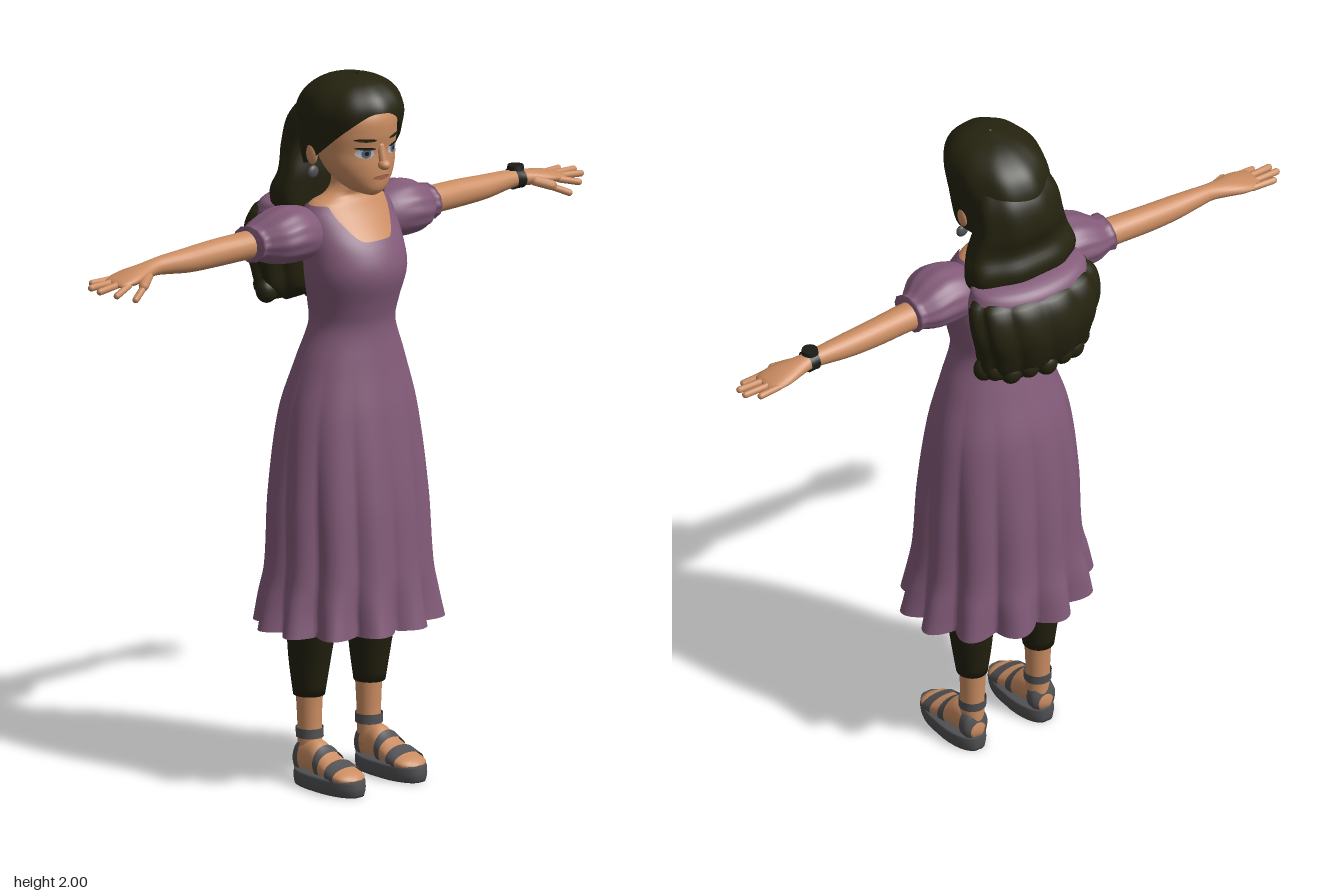
import * as THREE from 'three';

const mat = (name, color, side = THREE.DoubleSide) => {
  const m = new THREE.MeshStandardMaterial({ color, side });
  m.name = name;
  return m;
};
const rad = THREE.MathUtils.degToRad;
const smooth = THREE.MathUtils.smoothstep;

// Ring = [y, half width, front z, back z, centre x]; smooth interpolation between rings.
function ringAt(rings, y) {
  let i = 0;
  while (i < rings.length - 2 && y > rings[i + 1][0]) i++;
  const slope = (j, k) => {
    const a = rings[Math.max(j - 1, 0)], b = rings[Math.min(j + 1, rings.length - 1)];
    return ((b[k] ?? 0) - (a[k] ?? 0)) / (b[0] - a[0]);
  };
  const a = rings[i], b = rings[i + 1], h = b[0] - a[0];
  const t = THREE.MathUtils.clamp((y - a[0]) / h, 0, 1), t2 = t * t, t3 = t2 * t;
  const at = k => (2 * t3 - 3 * t2 + 1) * (a[k] ?? 0) + (t3 - 2 * t2 + t) * h * slope(i, k)
    + (3 * t2 - 2 * t3) * (b[k] ?? 0) + (t3 - t2) * h * slope(i + 1, k);
  return { w: Math.max(at(1), 0.001), c: (at(2) + at(3)) / 2, d: (at(2) - at(3)) / 2, cx: at(4) };
}

// Skin the rings; lo and hi edges and the radius factor may vary with the angle from the front.
function loft(rings, { lo, hi, seg = 32, rows = 24, factor = () => 1, caps = true } = {}) {
  const y0 = rings[0][0], y1 = rings[rings.length - 1][0], pos = [], idx = [];
  for (let r = 0; r <= rows; r++) for (let s = 0; s < seg; s++) {
    const th = s / seg * Math.PI * 2, phi = th > Math.PI ? th - Math.PI * 2 : th;
    const y = THREE.MathUtils.lerp(lo ? lo(phi) : y0, hi ? hi(phi) : y1, r / rows);
    const q = ringAt(rings, y), f = factor(phi, y);
    pos.push(q.cx + q.w * f * Math.sin(th), y, q.c + q.d * f * Math.cos(th));
  }
  for (let r = 0; r < rows; r++) for (let s = 0; s < seg; s++) {
    const a = r * seg + s, b = r * seg + (s + 1) % seg;
    idx.push(a, b, b + seg, a, b + seg, a + seg);
  }
  if (caps) [[y0, 0], [y1, rows]].forEach(([y, r]) => {
    const q = ringAt(rings, y), c = pos.length / 3;
    pos.push(q.cx, y, q.c);
    for (let s = 0; s < seg; s++) {
      const a = r * seg + s, b = r * seg + (s + 1) % seg;
      r ? idx.push(a, b, c) : idx.push(b, a, c);
    }
  });
  const g = new THREE.BufferGeometry();
  g.setAttribute('position', new THREE.Float32BufferAttribute(pos, 3));
  g.setIndex(idx);
  g.computeVertexNormals();
  return g;
}
const inflate = (rings, e) => rings.map(r => [r[0], r[1] + e, r[2] + e, r[3] - e, r[4] ?? 0]);

function mirrored(geo) {
  const g = geo.clone().scale(-1, 1, 1), ix = g.index.array;
  for (let i = 0; i < ix.length; i += 3) [ix[i], ix[i + 1]] = [ix[i + 1], ix[i]];
  g.computeVertexNormals();
  return g;
}

function capsule(a, b, r) {
  const p = new THREE.Vector3(...a), q = new THREE.Vector3(...b), d = q.clone().sub(p);
  const turn = new THREE.Quaternion().setFromUnitVectors(new THREE.Vector3(0, 1, 0), d.clone().normalize());
  const c = p.add(q).multiplyScalar(0.5);
  return new THREE.CapsuleGeometry(r, d.length() - 2 * r, 5, 10).applyQuaternion(turn).translate(c.x, c.y, c.z);
}
const ball = (r, sx, sy, sz, x, y, z) => new THREE.SphereGeometry(r, 20, 14).scale(sx, sy, sz).translate(x, y, z);

export function createModel() {
  const root = new THREE.Group();
  const skin = mat('skin', 0xcb8d62), hair = mat('dark hair', 0x25230f), dress = mat('plum cloth', 0x835b79);
  const leggings = mat('dark leggings', 0x22200e), grey = mat('grey leather', 0x515154);
  const white = mat('eye white', 0xb9bcc4), iris = mat('blue grey iris', 0x52667c);
  const lip = mat('lips', 0xa9654c), black = mat('watch black', 0x1b1b17);
  const add = (name, geo, m) => {
    const mesh = new THREE.Mesh(geo, m);
    mesh.name = name;
    root.add(mesh);
  };
  const pair = (name, geo, m) => {
    add('left' + name, geo, m);
    add('right' + name, mirrored(geo), m);
  };

  // Dress: fitted bodice running into a pleated skirt with a flared hem
  const body = [[0.455, 0.287, 0.265, -0.2], [0.53, 0.27, 0.25, -0.19], [0.61, 0.251, 0.239, -0.176],
    [0.82, 0.24, 0.222, -0.165], [1.05, 0.21, 0.19, -0.135], [1.2, 0.163, 0.162, -0.09],
    [1.3, 0.127, 0.15, -0.062], [1.36, 0.133, 0.163, -0.065], [1.45, 0.15, 0.187, -0.07],
    [1.52, 0.15, 0.168, -0.07], [1.58, 0.15, 0.128, -0.07], [1.62, 0.143, 0.1, -0.06],
    [1.645, 0.12, 0.085, -0.045], [1.66, 0.08, 0.075, -0.03]];
  const pleat = (phi, y) => {
    const depth = 0.1 * (1 - smooth(y, 0.6, 1.28)) + 0.09 * (1 - smooth(y, 0.455, 0.62));
    return 1 - depth * (1 - Math.abs(Math.sin(6 * phi)));
  };
  add('dress', loft(body, {
    seg: 168, rows: 64, factor: pleat, caps: false,
    hi: phi => 1.545 + 0.095 * smooth(Math.abs(phi), rad(15), rad(55)),
  }), dress);

  // Chest and neck
  const chest = inflate(body.filter(r => r[0] > 1.42), -0.006);
  add('chestAndNeck', loft([...chest, [1.685, 0.05, 0.08, -0.03], [1.72, 0.047, 0.075, -0.03], [1.78, 0.05, 0.08, -0.03]],
    { seg: 48, rows: 40 }), skin);

  // Puff sleeves with gathered cuffs
  const puff = [[0.1, 0.06, 0.06, -0.06, 0.01], [0.15, 0.074, 0.085, -0.085, 0], [0.21, 0.077, 0.098, -0.092, -0.005],
    [0.26, 0.068, 0.088, -0.09, 0], [0.295, 0.052, 0.058, -0.078, 0.004], [0.305, 0.047, 0.046, -0.072, 0.005],
    [0.325, 0.05, 0.05, -0.075, 0.005]];
  const sleeve = loft(puff, { seg: 60, factor: (p, y) => 1 + 0.02 * smooth(y, 0.13, 0.22) * Math.cos(12 * p) });
  pair('Sleeve', sleeve.rotateZ(-Math.PI / 2).translate(0, 1.565, 0), dress);

  // Arms, hands and fingers
  const arm = [[0.26, 0.04, 0.025, -0.06, 0], [0.35, 0.039, 0.02, -0.06, 0], [0.45, 0.038, 0.012, -0.062, 0.002],
    [0.54, 0.034, 0.008, -0.06, 0.003], [0.62, 0.027, 0, -0.055, 0], [0.66, 0.023, -0.002, -0.052, 0],
    [0.7, 0.022, 0.006, -0.058, 0.005], [0.75, 0.02, 0.02, -0.07, 0.011], [0.79, 0.014, 0.02, -0.07, 0.016],
    [0.812, 0.008, 0.012, -0.062, 0.018]];
  pair('Arm', loft(arm, { seg: 24, rows: 40 }).rotateZ(-Math.PI / 2).translate(0, 1.557, 0), skin);
  [[0.01, 0.03, 0.85, 1.52], [-0.014, -0.002, 0.885, 1.533], [-0.038, -0.035, 0.888, 1.538], [-0.06, -0.066, 0.858, 1.54]]
    .forEach(([z0, z1, x, y], i) => pair('Finger' + (i + 1), capsule([0.775, 1.54, z0], [x, y, z1], 0.0095), skin));
  pair('ThumbBase', capsule([0.695, 1.55, -0.005], [0.755, 1.527, 0.035], 0.014), skin);
  pair('Thumb', capsule([0.735, 1.532, 0.024], [0.798, 1.502, 0.05], 0.0095), skin);

  // Wristwatch on the left wrist
  add('watchBand', loft(inflate(arm, 0.006), { lo: () => 0.645, hi: () => 0.674, rows: 4, caps: false })
    .rotateZ(-Math.PI / 2).translate(0, 1.557, 0), black);
  add('watchFace', new THREE.CylinderGeometry(0.022, 0.024, 0.012, 20).translate(0.66, 1.588, -0.027), black);

  // Head
  const head = [[1.672, 0.018, 0.14, 0.09], [1.685, 0.048, 0.157, 0.05], [1.72, 0.083, 0.165, 0],
    [1.76, 0.104, 0.166, -0.03], [1.8, 0.112, 0.164, -0.05], [1.85, 0.115, 0.172, -0.06],
    [1.9, 0.108, 0.168, -0.05], [1.95, 0.07, 0.13, -0.01], [1.965, 0.03, 0.09, 0.03]];
  add('head', loft(head, { seg: 48, rows: 40 }), skin);
  add('nose', ball(0.018, 0.95, 0.8, 1, 0, 1.764, 0.176), skin);
  add('noseBridge', capsule([0, 1.765, 0.174], [0, 1.825, 0.158], 0.011), skin);
  pair('Ear', ball(0.03, 0.35, 1, 0.7, 0.122, 1.785, 0.018), skin);
  pair('Earring', ball(0.02, 0.9, 0.9, 0.5, 0.122, 1.735, 0.022), grey);

  // Painted face details lie just above the face surface
  const decal = (x, y, rx, ry, turn, lift) => {
    const g = new THREE.CircleGeometry(1, 24).scale(rx, ry, 1).rotateZ(turn).translate(x, y, 0), p = g.attributes.position;
    for (let i = 0; i < p.count; i++) {
      const q = ringAt(head, p.getY(i));
      p.setZ(i, q.c + q.d * Math.sqrt(Math.max(0, 1 - (p.getX(i) / q.w) ** 2)) + lift);
    }
    g.computeVertexNormals();
    return g;
  };
  pair('EyeWhite', decal(0.05, 1.8, 0.025, 0.014, 0.1, 0.002), white);
  pair('Iris', decal(0.048, 1.8, 0.013, 0.013, 0, 0.004), iris);
  pair('Pupil', decal(0.048, 1.8, 0.006, 0.006, 0, 0.006), black);
  pair('Lashes', decal(0.051, 1.814, 0.028, 0.004, 0.1, 0.006), black);
  pair('Eyebrow', decal(0.052, 1.838, 0.029, 0.005, 0.08, 0.004), hair);
  add('mouth', decal(0, 1.727, 0.03, 0.007, 0, 0.003), lip);

  // Hair: swept cap, back fall, and a full lower fall of curls
  const cap = [[1.74, 0.122, 0.165, -0.12], [1.8, 0.127, 0.176, -0.14], [1.86, 0.133, 0.19, -0.135],
    [1.91, 0.132, 0.2, -0.12], [1.95, 0.115, 0.185, -0.09], [1.98, 0.08, 0.15, -0.04],
    [1.995, 0.035, 0.11, 0.01], [2, 0.003, 0.07, 0.06]];
  add('hairCap', loft(cap, {
    seg: 72, rows: 40, caps: false, lo: p => 1.918 - 0.168 * smooth(Math.abs(p + 0.2), rad(4), rad(98)),
    factor: (p, y) => 1 + 0.012 * Math.cos(9 * p + 14 * y),
  }), hair);
  const fall = [[1.59, 0.15, 0, -0.14], [1.63, 0.168, 0.005, -0.16], [1.67, 0.17, 0.008, -0.164],
    [1.72, 0.155, 0.012, -0.142], [1.79, 0.132, 0.012, -0.156], [1.87, 0.12, 0.03, -0.137], [1.94, 0.08, 0.05, -0.08]];
  add('hairBack', loft(fall, { seg: 64, rows: 32, factor: (p, y) => 1 + 0.02 * Math.cos(8 * p + 9 * y) }), hair);
  add('backCloth', loft([[1.58, 0.19, -0.02, -0.222], [1.61, 0.18, -0.02, -0.217], [1.632, 0.165, -0.02, -0.195],
    [1.642, 0.12, -0.03, -0.16]], { seg: 48, rows: 12 }), dress);
  const lower = [[1.33, 0.13, -0.1, -0.19], [1.38, 0.172, -0.06, -0.225], [1.44, 0.186, -0.045, -0.25],
    [1.5, 0.202, -0.04, -0.262], [1.56, 0.205, -0.035, -0.252], [1.6, 0.195, -0.03, -0.23], [1.615, 0.17, -0.04, -0.205]];
  add('hairLower', loft(lower, {
    seg: 96, rows: 32, lo: p => 1.36 + 0.02 * Math.cos(11 * p),
    factor: (p, y) => 1 - 0.08 * (1 - Math.abs(Math.cos(5.5 * p + 4 * (y - 1.4)))),
  }), hair);
  // Curled tips along the bottom
  for (let i = -4; i <= 4; i++) {
    const a = i * 0.36, x = 0.155 * Math.sin(a), z = -0.13 - 0.085 * Math.cos(a);
    add('hairCurl', ball(0.032, 1, 1.1, 0.9, x, 1.375 + (i % 2 ? 0.008 : -0.002), z + 0.01), hair);
  }

  // Legs
  const legs = [[0.25, 0.043, 0.037, -0.052], [0.35, 0.056, 0.055, -0.065], [0.45, 0.065, 0.073, -0.07],
    [0.6, 0.072, 0.08, -0.075], [0.9, 0.078, 0.085, -0.075]];
  pair('Legging', loft(legs).translate(0.11, 0, 0), leggings);
  const ankle = [[0.07, 0.034, 0.032, -0.04], [0.14, 0.033, 0.026, -0.04], [0.2, 0.035, 0.026, -0.042], [0.28, 0.039, 0.03, -0.047]];
  pair('Ankle', loft(ankle).translate(0.108, 0, 0), skin);

  // Feet, lofted heel to toe, with sandals
  const foot = [[-0.042, 0.018, -0.04, -0.08], [-0.03, 0.033, -0.03, -0.115], [0.03, 0.038, -0.03, -0.13],
    [0.08, 0.045, -0.03, -0.1], [0.14, 0.05, -0.03, -0.073], [0.175, 0.042, -0.03, -0.062], [0.192, 0.018, -0.03, -0.05]];
  const place = g => g.rotateX(Math.PI / 2).translate(0.112, 0, 0);
  pair('Foot', place(loft(foot)), skin);
  const strap = (a, b) => place(loft(inflate(foot, 0.005), { lo: () => a, hi: () => b, rows: 6, caps: false }));
  pair('HeelCup', strap(-0.041, -0.008), grey);
  pair('InstepStrap', strap(0.06, 0.083), grey);
  pair('ToeStrap', strap(0.115, 0.15), grey);
  pair('AnkleStrap', loft(inflate(ankle, 0.005), { lo: () => 0.13, hi: () => 0.157, rows: 4, caps: false })
    .translate(0.108, 0, 0), grey);
  const sole = [[0, 0.052, 0.2, -0.045], [0.02, 0.056, 0.205, -0.047], [0.045, 0.055, 0.203, -0.046]];
  const taper = loft(sole, { rows: 6, factor: p => 1 + 0.06 * Math.abs(Math.sin(2 * p)) });
  pair('Sole', taper.translate(0.112, 0, 0), grey);

  return root;
}
